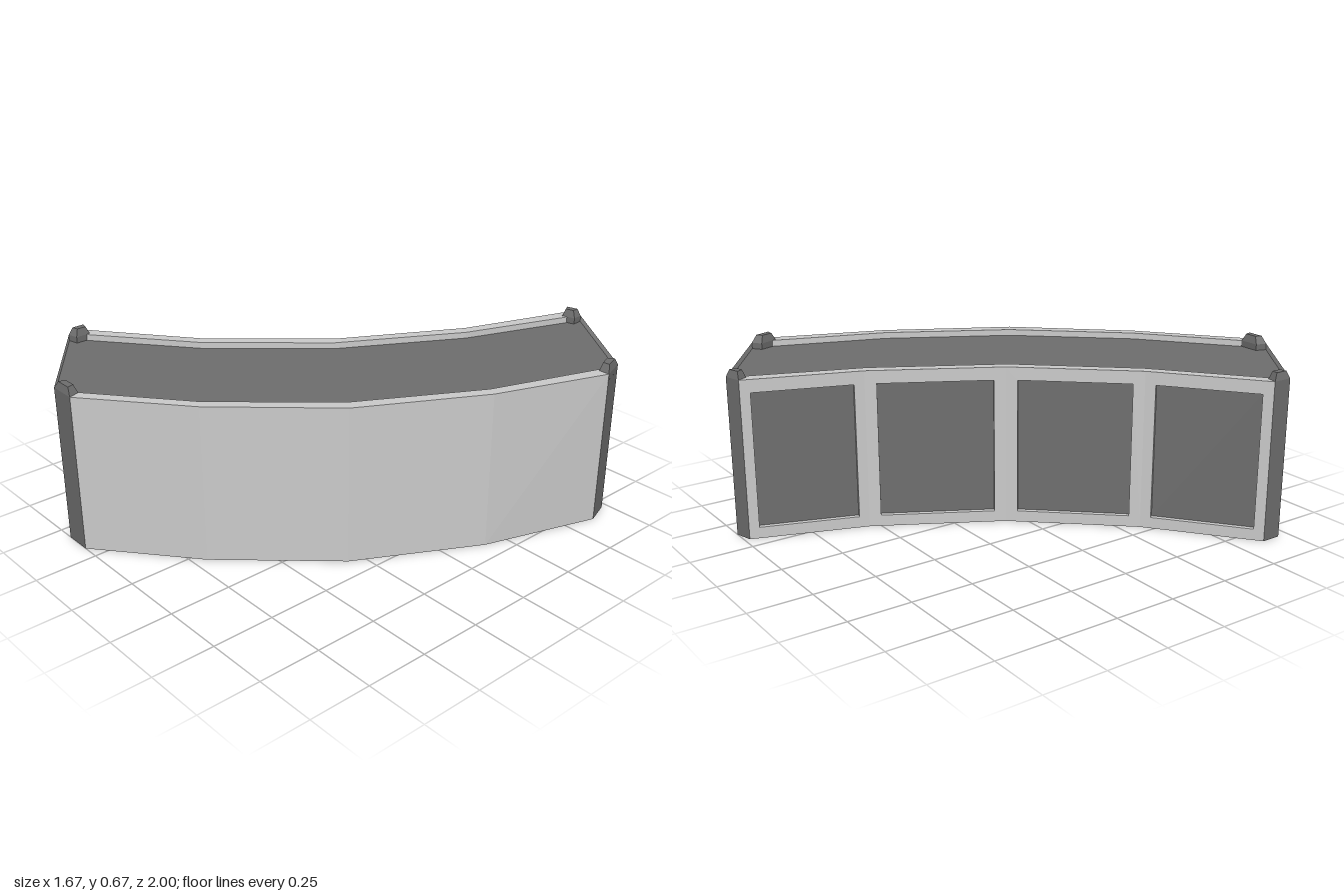
import * as THREE from 'three';

const H = 0.637, DECK = 0.612, CAP = 0.667;

// Plan outline as [x, z] lists
const outer = [[-0.32, 1], [0.05, 0.70], [0.41, 0.31], [0.67, -0.16], [0.835, -0.61]];
const inner = [[0.32, -0.98], [0.165, -0.54], [-0.10, -0.07], [-0.455, 0.325], [-0.835, 0.62]];
const outerLip = [[-0.335, 0.955], [0.02, 0.67], [0.37, 0.28], [0.63, -0.18], [0.785, -0.625]];
const innerLip = [[0.362, -0.945], [0.20, -0.51], [-0.07, -0.04], [-0.42, 0.35], [-0.79, 0.645]];
const farEnd = [[0.80, -0.71], [0.39, -1]];
const nearEnd = [[-0.835, 0.70], [-0.43, 1]];

const makeMaterial = (color) =>
  new THREE.MeshStandardMaterial({ color, flatShading: true, side: THREE.DoubleSide });

// The far outer corner leans slightly inward at its foot
function at([x, z], y) {
  const lean = x > 0.75 ? 0.012 * (1 - y / H) : 0;
  return new THREE.Vector3(x - lean, y, z - lean);
}

// Mesh from a list of four-cornered faces
function quadMesh(name, quads, material) {
  const points = quads.flatMap(([a, b, c, d]) => [a, b, c, a, c, d]);
  const geometry = new THREE.BufferGeometry().setFromPoints(points);
  geometry.computeVertexNormals();
  const mesh = new THREE.Mesh(geometry, material);
  mesh.name = name;
  return mesh;
}

const wallQuad = (a, b, y0, y1) => [at(a, y0), at(b, y0), at(b, y1), at(a, y1)];

const outwardNormal = (a, b) =>
  new THREE.Vector3(a[1] - b[1], 0, b[0] - a[0]).normalize();

// Wall with a rectangular recess and a dark panel set into it
function recessedWall(name, a, b, [u0, u1], [y0, y1], depth, light, dark) {
  const edge = wallQuad(a, b, 0, H);
  const point = (u, y) => at(a, y).lerp(at(b, y), u);
  const hole = [point(u0, y0), point(u1, y0), point(u1, y1), point(u0, y1)];
  const inward = outwardNormal(a, b).multiplyScalar(-depth);
  const back = hole.map((p) => p.clone().add(inward));
  const frame = [];
  for (let i = 0; i < 4; i++) {
    const j = (i + 1) % 4;
    frame.push([edge[i], edge[j], hole[j], hole[i]]);
    frame.push([hole[i], hole[j], back[j], back[i]]);
  }
  const group = new THREE.Group();
  group.name = name;
  group.add(quadMesh(name + 'Frame', frame, light), quadMesh(name + 'Inset', [back], dark));
  return group;
}

// Flat-topped lip along a curved side, with its drop to the deck
function lip(name, line, lipLine, material) {
  const quads = [];
  for (let i = 0; i < line.length - 1; i++) {
    quads.push([at(line[i], H), at(line[i + 1], H), at(lipLine[i + 1], H), at(lipLine[i], H)]);
    quads.push(wallQuad(lipLine[i + 1], lipLine[i], DECK, H));
  }
  return quadMesh(name, quads, material);
}

// Chamfered corner post with a small tapered cap
function cornerPost(a, b, material) {
  const n = outwardNormal(a, b);
  const mid = at(a, H).lerp(at(b, H), 0.5);
  const tuck = (p) => at(p, H).sub(mid).multiplyScalar(0.75).add(mid).addScaledVector(n, -0.043);
  const base = [at(a, H), at(b, H), tuck(b), tuck(a)];
  const centre = mid.clone().addScaledVector(n, -0.021);
  const top = base.map((p) => {
    const t = p.clone().lerp(centre, 0.38);
    t.y = CAP;
    return t;
  });
  const foot = base.map((p) => p.clone().setY(DECK));
  const quads = [wallQuad(a, b, 0, H), top];
  for (let i = 0; i < 4; i++) {
    const j = (i + 1) % 4;
    quads.push([base[i], base[j], top[j], top[i]]);
    if (i > 0) quads.push([foot[i], foot[j], base[j], base[i]]);
  }
  return quadMesh('cornerPost', quads, material);
}

export function createModel() {
  const model = new THREE.Group();
  model.name = 'curvedCounter';
  const light = makeMaterial(0xcccccc);
  const dark = makeMaterial(0x6f6f6f);

  // Smooth convex side
  const outerQuads = [];
  for (let i = 0; i < 4; i++) outerQuads.push(wallQuad(outer[i], outer[i + 1], 0, H));
  model.add(quadMesh('outerWall', outerQuads, light));

  // Concave side with four inset panels
  for (let i = 0; i < 4; i++) {
    model.add(recessedWall('innerPanel', inner[i], inner[i + 1],
      [0.085, 0.915], [0.045, 0.585], 0.02, light, dark));
  }

  // End walls, each with a slot
  model.add(recessedWall('farEndWall', farEnd[0], farEnd[1], [0.12, 0.845], [0.10, 0.21], 0.02, light, dark));
  model.add(recessedWall('nearEndWall', nearEnd[0], nearEnd[1], [0.10, 0.90], [0.427, 0.517], 0.02, light, dark));

  // Lips along both long sides
  model.add(lip('outerLip', outer, outerLip, light), lip('innerLip', inner, innerLip, light));

  // Corner posts
  const posts = [[outer[4], farEnd[0]], [farEnd[1], inner[0]], [inner[4], nearEnd[0]], [nearEnd[1], outer[0]]];
  for (const [a, b] of posts) model.add(cornerPost(a, b, dark));

  // Sunken deck
  const outline = [...outer, ...farEnd, ...inner, ...nearEnd];
  const deckShape = new THREE.Shape(outline.map(([x, z]) => new THREE.Vector2(x, -z)));
  const deck = new THREE.Mesh(new THREE.ShapeGeometry(deckShape).rotateX(-Math.PI / 2), dark);
  deck.position.y = DECK;
  deck.name = 'deck';
  model.add(deck);

  return model;
}
